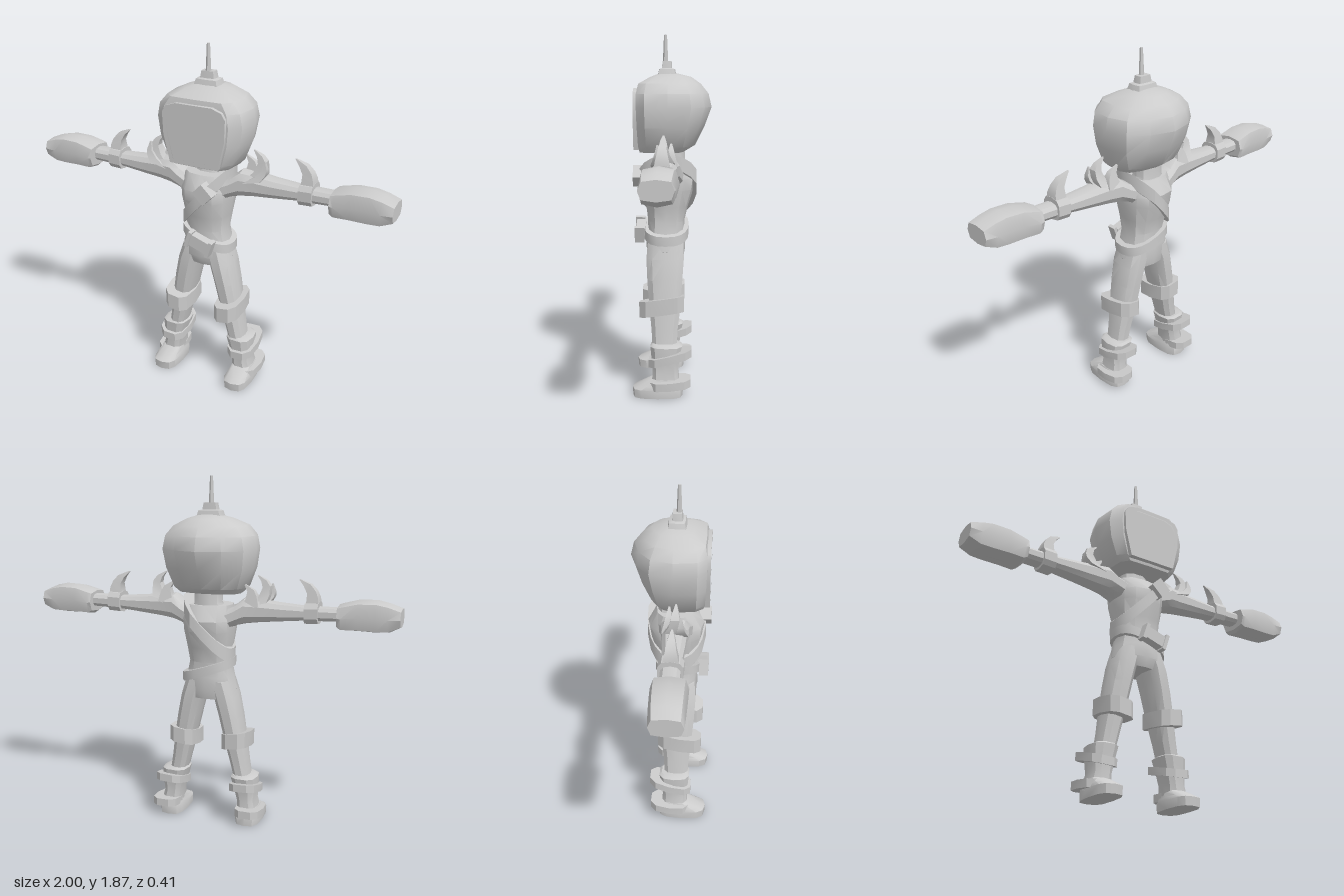
import * as THREE from 'three';
import { toCreasedNormals } from 'three/addons/utils/BufferGeometryUtils.js';

const material = new THREE.MeshStandardMaterial({ color: 0xcccccc });

function addMesh(parent, name, geometry) {
  const mesh = new THREE.Mesh(toCreasedNormals(geometry, 0.6), material);
  mesh.name = name;
  parent.add(mesh);
  return mesh;
}

// Skin a list of equal-length rings, cap both ends and turn the faces outwards
function loft(rings) {
  const n = rings[0].length, pos = rings.flat(2), idx = [];
  rings.slice(1).forEach((_, r) => {
    for (let i = 0; i < n; i++) {
      const a = r * n + i, b = r * n + (i + 1) % n;
      idx.push(a, b, b + n, a, b + n, a + n);
    }
  });
  [0, rings.length - 1].forEach((r) => {
    const c = pos.length / 3;
    for (let k = 0; k < 3; k++) pos.push(rings[r].reduce((s, p) => s + p[k], 0) / n);
    for (let i = 0; i < n; i++) {
      const a = r * n + i, b = r * n + (i + 1) % n;
      idx.push(...(r ? [c, a, b] : [c, b, a]));
    }
  });
  const v = (i) => new THREE.Vector3().fromArray(pos, i * 3);
  let volume = 0;
  for (let i = 0; i < idx.length; i += 3) volume += v(idx[i]).dot(v(idx[i + 1]).cross(v(idx[i + 2])));
  if (volume < 0) idx.reverse();
  const g = new THREE.BufferGeometry();
  g.setAttribute('position', new THREE.Float32BufferAttribute(pos, 3));
  g.setIndex(idx);
  return g;
}

// Rounded section filling u0..u1 by v0..v1; a smaller power is boxier
function section(u0, u1, v0, v1, n = 10, power = 0.8) {
  const soft = (t) => Math.sign(t) * Math.abs(t) ** power;
  return Array.from({ length: n }, (_, i) => {
    const a = (i / n) * Math.PI * 2;
    return [(u0 + u1) / 2 + (u1 - u0) / 2 * soft(Math.cos(a)), (v0 + v1) / 2 + (v1 - v0) / 2 * soft(Math.sin(a))];
  });
}
// Rows are [y, x0, x1, z0, z1] for upright parts and [x, y0, y1, z0, z1] for arms
const upright = (s, rows, n, p) => loft(rows.map(([y, ...e]) => section(...e, n, p).map(([x, z]) => [s * x, y, z])));
const sideways = (s, rows, n, p) => loft(rows.map(([x, ...e]) => section(...e, n, p).map(([y, z]) => [s * x, y, z])));

// Tilted band around a limb
function band(s, x0, x1, z0, z1, y, h, slopeX, slopeZ) {
  const ring = section(x0, x1, z0, z1, 10, 0.7);
  return loft([-h / 2, h / 2].map((d) => ring.map(([x, z]) =>
    [s * x, y + d + slopeX * (x - (x0 + x1) / 2) + slopeZ * (z - (z0 + z1) / 2), z])));
}

// Curved spike; rows are [x, y, z, half width, half depth]
function spike(s, rows) {
  return loft(rows.map(([x, y, z, w, d]) =>
    [[-w, -d], [w, -d], [w, d], [-w, d]].map(([u, v]) => [s * (x + u), y + 0.25 * u, z + v])));
}

// Torso outline: [y, half width, back z, front z]
const TORSO = [
  [0.70, 0.12, -0.06, 0.12], [0.75, 0.147, -0.07, 0.14], [0.82, 0.13, -0.07, 0.135], [0.90, 0.112, -0.065, 0.13],
  [0.98, 0.122, -0.085, 0.14], [1.07, 0.135, -0.115, 0.165], [1.13, 0.138, -0.125, 0.17], [1.21, 0.125, -0.08, 0.12]];
function torsoAt(y) {
  const i = Math.max(0, TORSO.findLastIndex((r) => r[0] <= y));
  const a = TORSO[i], b = TORSO[Math.min(i + 1, TORSO.length - 1)];
  const t = b === a ? 0 : (y - a[0]) / (b[0] - a[0]);
  return a.map((v, k) => THREE.MathUtils.lerp(v, b[k], THREE.MathUtils.clamp(t, 0, 1)));
}
// Strap following the torso along y = base + slope * x
function strap(base, slope, h, grow) {
  return loft([-h / 2, h / 2].map((d) => Array.from({ length: 20 }, (_, i) => {
    const cos = Math.cos(i / 10 * Math.PI);
    const [, w, b, f] = torsoAt(base + slope * cos * 0.13);
    const [x, z] = section(-w - grow, w + grow, b - grow, f + grow, 20)[i];
    return [x, base + slope * x + d, z];
  })));
}

function box(parent, name, size, at, roll = 0) {
  const m = addMesh(parent, name, new THREE.BoxGeometry(...size));
  m.position.set(...at);
  m.rotation.z = roll;
}

function buildHead(parent) {
  const head = new THREE.Group();
  head.name = 'head';
  parent.add(head);
  // Helmet: flat front, pointed back
  const half = [[0.72, 1], [0.93, 0.75], [1, 0.1], [0.87, -0.48], [0.5, -0.82]];
  const plan = [[0, 1.02], ...half, [0, -1], ...half.map(([x, z]) => [-x, z]).reverse()];
  const rows = [[1.27, 0.17, 0.165, 0.07], [1.3, 0.2, 0.172, 0.12], [1.4, 0.24, 0.177, 0.17], [1.5, 0.255, 0.18, 0.207],
    [1.57, 0.24, 0.18, 0.19], [1.62, 0.195, 0.17, 0.15], [1.655, 0.12, 0.11, 0.1], [1.675, 0.05, 0.06, 0.02]];
  addMesh(head, 'helmet', loft(rows.map(([y, w, f, b]) => plan.map(([x, z]) => [x * w, y, z * (z > 0 ? f : b)]))));
  // Visor frame and glass
  const side = [[0.1, 1.597], [0.155, 1.578], [0.175, 1.545], [0.17, 1.43], [0.135, 1.285]];
  const outline = [...side, ...side.map(([x, y]) => [-x, y]).reverse()];
  const points = (k) => outline.map(([x, y]) => new THREE.Vector2(x * k, 1.44 + (y - 1.44) * k));
  const frame = new THREE.Shape(points(1));
  frame.holes.push(new THREE.Path(points(0.87)));
  addMesh(head, 'visorFrame', new THREE.ExtrudeGeometry(frame, { depth: 0.045, bevelEnabled: false })).position.z = 0.152;
  addMesh(head, 'visorGlass', new THREE.ShapeGeometry(new THREE.Shape(points(0.9)))).position.z = 0.186;
  // Antenna on a stepped base
  addMesh(head, 'antennaBase', upright(1, [[1.65, -0.075, 0.075, -0.025, 0.08], [1.695, -0.06, 0.06, -0.015, 0.068],
    [1.7, -0.042, 0.042, 0, 0.055], [1.735, -0.035, 0.035, 0.003, 0.05]], 8, 0.25));
  addMesh(head, 'antenna', new THREE.CylinderGeometry(0.008, 0.014, 0.14, 6)).position.set(0, 1.8, 0.035);
}

function buildArm(parent, s) {
  const arm = new THREE.Group();
  arm.name = s > 0 ? 'leftArm' : 'rightArm';
  parent.add(arm);
  addMesh(arm, 'sleeve', sideways(s, [[0.09, 1.07, 1.19, -0.07, 0.12], [0.15, 1.1, 1.215, -0.055, 0.11],
    [0.2, 1.112, 1.255, -0.045, 0.105], [0.27, 1.122, 1.248, -0.035, 0.095], [0.38, 1.133, 1.235, -0.025, 0.09],
    [0.5, 1.145, 1.226, -0.018, 0.082], [0.72, 1.153, 1.225, -0.015, 0.08]]));
  addMesh(arm, 'glove', sideways(s, [[0.69, 1.125, 1.24, -0.05, 0.125], [0.71, 1.11, 1.248, -0.052, 0.125],
    [0.79, 1.11, 1.27, -0.048, 0.125], [0.88, 1.108, 1.273, -0.044, 0.124], [0.94, 1.112, 1.26, -0.04, 0.122],
    [1, 1.142, 1.235, -0.035, 0.12]], 8, 0.6));
  addMesh(arm, 'bracelet', sideways(s, [[0.52, 1.13, 1.247, -0.03, 0.095], [0.59, 1.133, 1.25, -0.03, 0.095]], 10, 0.7));
  addMesh(arm, 'braceletSpike', spike(s, [[0.555, 1.22, 0.033, 0.035, 0.04], [0.556, 1.26, 0.033, 0.03, 0.033],
    [0.55, 1.295, 0.033, 0.023, 0.025], [0.525, 1.33, 0.033, 0.018, 0.018], [0.482, 1.357, 0.033, 0.003, 0.004]]));
  // Shoulder spikes: a tall middle one, an outer and an inner one
  addMesh(arm, 'shoulderSpikeMiddle', spike(s, [[0.27, 1.22, 0.03, 0.05, 0.05], [0.3, 1.265, 0.035, 0.03, 0.032],
    [0.31, 1.31, 0.037, 0.02, 0.022], [0.295, 1.34, 0.037, 0.014, 0.015], [0.26, 1.367, 0.037, 0.003, 0.004]]));
  addMesh(arm, 'shoulderSpikeOuter', spike(s, [[0.27, 1.21, 0.06, 0.05, 0.04], [0.315, 1.25, 0.065, 0.028, 0.022],
    [0.332, 1.28, 0.065, 0.014, 0.014], [0.33, 1.325, 0.065, 0.003, 0.004]]));
  addMesh(arm, 'shoulderSpikeInner', spike(s, [[0.23, 1.2, 0, 0.05, 0.035], [0.24, 1.255, 0, 0.03, 0.022],
    [0.235, 1.29, 0, 0.018, 0.014], [0.2, 1.322, 0, 0.003, 0.004]]));
}

function buildLeg(parent, s) {
  const leg = new THREE.Group();
  leg.name = s > 0 ? 'leftLeg' : 'rightLeg';
  parent.add(leg);
  addMesh(leg, 'trouserLeg', upright(s, [[0.8, 0.0, 0.13, -0.065, 0.13], [0.71, 0.03, 0.157, -0.068, 0.138],
    [0.6, 0.058, 0.18, -0.06, 0.132], [0.46, 0.09, 0.203, -0.05, 0.12], [0.34, 0.12, 0.22, -0.035, 0.107],
    [0.22, 0.15, 0.24, -0.03, 0.1]]));
  addMesh(leg, 'kneeBand', band(s, 0.075, 0.228, -0.07, 0.173, 0.46, 0.085, 0.15, -0.14));
  addMesh(leg, 'boot', upright(s, [[0.04, 0.165, 0.293, -0.05, 0.105], [0.13, 0.163, 0.268, -0.038, 0.1],
    [0.2, 0.145, 0.275, -0.045, 0.105], [0.265, 0.128, 0.275, -0.058, 0.112], [0.275, 0.14, 0.255, -0.045, 0.1]], 10, 0.7));
  addMesh(leg, 'bootStrap', band(s, 0.133, 0.297, -0.11, 0.122, 0.205, 0.042, 0.05, -0.26));
  addMesh(leg, 'ankleStrap', band(s, 0.165, 0.317, -0.105, 0.112, 0.072, 0.042, 0, -0.1));
  addMesh(leg, 'foot', upright(s, [[0, 0.155, 0.293, -0.06, 0.2], [0.045, 0.153, 0.295, -0.062, 0.203],
    [0.062, 0.16, 0.29, -0.055, 0.17], [0.095, 0.168, 0.28, -0.045, 0.1]], 12, 0.65));
}

export function createModel() {
  const model = new THREE.Group();
  model.name = 'spaceTraveller';
  buildHead(model);
  addMesh(model, 'neck', upright(1, [[1.18, -0.095, 0.095, -0.075, 0.075], [1.22, -0.075, 0.075, -0.07, 0.06],
    [1.29, -0.075, 0.075, -0.07, 0.06]]));
  addMesh(model, 'torso', upright(1, TORSO.map(([y, w, b, f]) => [y, -w, w, b, f]), 12));

  // Slanted belt with a pouch and two clips
  addMesh(model, 'belt', strap(0.855, -0.33, 0.05, 0.02));
  box(model, 'beltPouch', [0.11, 0.065, 0.05], [0.02, 0.85, 0.165], -0.32);
  [[-0.04, 0.868], [0.08, 0.832]].forEach(([x, y]) => box(model, 'beltClip', [0.02, 0.09, 0.05], [x, y, 0.172], -0.32));

  // Diagonal chest strap with a pouch
  addMesh(model, 'chestStrap', strap(1.075, 1.08, 0.075, 0.013));
  box(model, 'chestPouch', [0.075, 0.085, 0.06], [0.05, 1.14, 0.175], 0.8);

  [1, -1].forEach((s) => {
    buildArm(model, s);
    buildLeg(model, s);
  });
  return model;
}
